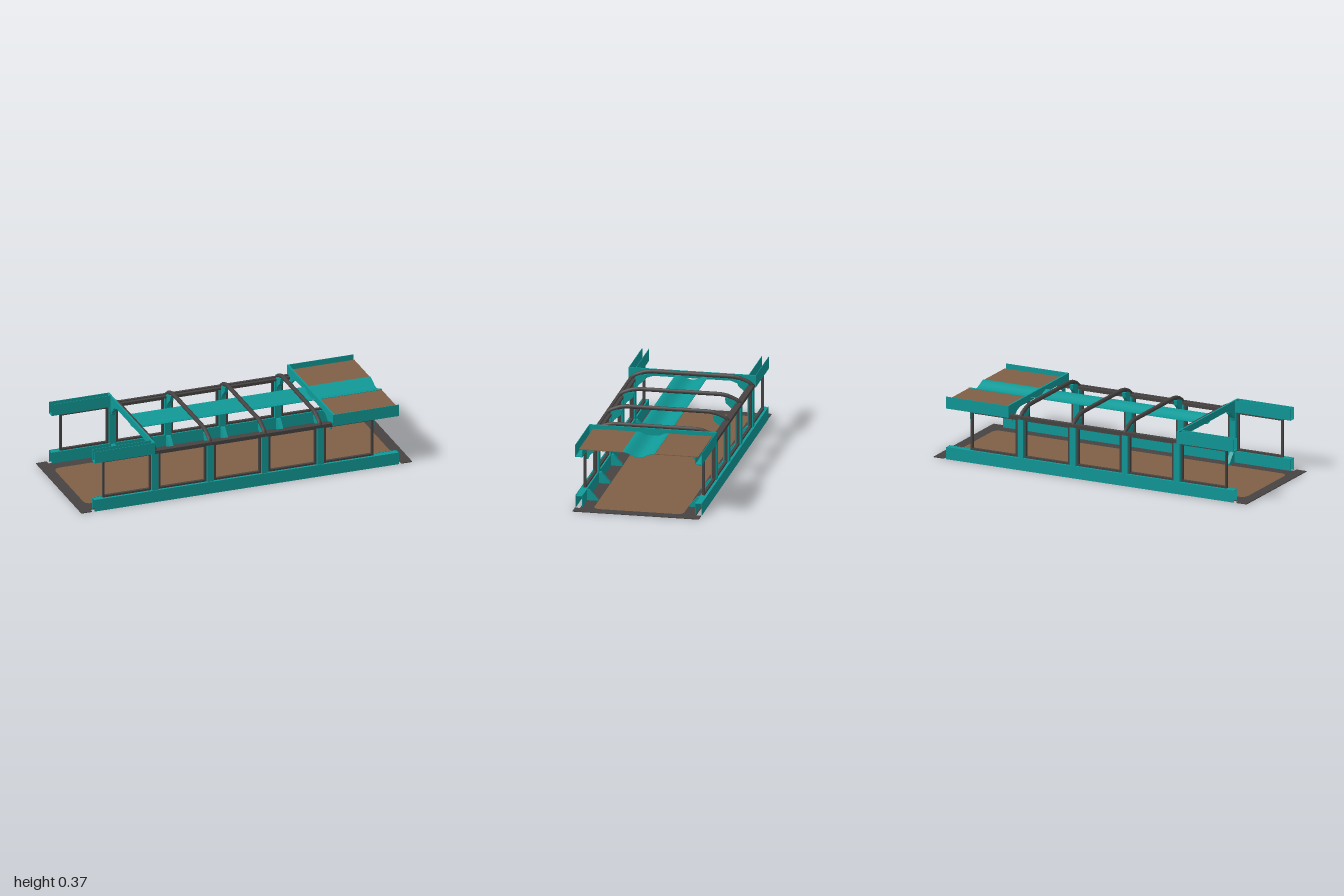
import * as THREE from 'three';

export function createModel() {
  const model = new THREE.Group();
  const mat = (name, color) => new THREE.MeshStandardMaterial({ name, color, side: THREE.DoubleSide });
  const teal = mat('teal paint', 0x0f9a98);
  const dark = mat('dark metal', 0x474343);
  const brown = mat('brown panel', 0x806047);

  const add = (name, geo, material) => {
    const m = new THREE.Mesh(geo, material);
    m.name = name;
    model.add(m);
    return m;
  };
  // box given by its minimum and maximum on each axis
  const box = (name, material, x0, x1, y0, y1, z0, z1) => {
    const g = new THREE.BoxGeometry(x1 - x0, y1 - y0, Math.abs(z1 - z0));
    g.translate((x0 + x1) / 2, (y0 + y1) / 2, (z0 + z1) / 2);
    return add(name, g, material);
  };
  // [z, y] profile extruded along x
  const profile = (name, material, pts, x, w) => {
    const s = new THREE.Shape(pts.map(p => new THREE.Vector2(...p)));
    const g = new THREE.ExtrudeGeometry(s, { depth: w, bevelEnabled: false });
    g.rotateY(-Math.PI / 2).translate(x + w / 2, 0, 0);
    return add(name, g, material);
  };

  // floor: dark border, notched beside the rail ends, around a rounded panel
  const roundRect = (path, a, b, r) => {
    path.moveTo(-a + r, -b);
    path.lineTo(a - r, -b); path.quadraticCurveTo(a, -b, a, -b + r);
    path.lineTo(a, b - r); path.quadraticCurveTo(a, b, a - r, b);
    path.lineTo(-a + r, b); path.quadraticCurveTo(-a, b, -a, b - r);
    path.lineTo(-a, -b + r); path.quadraticCurveTo(-a, -b, -a + r, -b);
    return path;
  };
  const border = new THREE.Shape([
    [-1, -0.365], [-0.935, -0.365], [-0.935, -0.335], [0.935, -0.335], [0.935, -0.365], [1, -0.365],
    [1, 0.365], [0.935, 0.365], [0.935, 0.335], [-0.935, 0.335], [-0.935, 0.365], [-1, 0.365],
  ].map(p => new THREE.Vector2(...p)));
  border.holes.push(roundRect(new THREE.Path(), 0.935, 0.26, 0.045));
  const inlay = roundRect(new THREE.Shape(), 0.935, 0.26, 0.045);
  const flat = shape => new THREE.ExtrudeGeometry(shape, { depth: 0.004, bevelEnabled: false, curveSegments: 6 })
    .rotateX(-Math.PI / 2);
  add('floorBorder', flat(border), dark);
  add('floorPanel', flat(inlay), brown);

  const postX = [-0.55, -0.215, 0.115, 0.45];
  const bays = [[-0.865, -0.573], [-0.527, -0.238], [-0.192, 0.092], [0.138, 0.427], [0.473, 0.77]];
  const t = 0.003;

  for (const s of [1, -1]) {
    const side = (name, material, x0, x1, y0, y1, z0, z1) => box(name, material, x0, x1, y0, y1, s * z0, s * z1);

    // lower rail: channel open downwards
    side('lowerRailOuter', teal, -0.92, 0.92, 0, 0.072, 0.363, 0.366);
    side('lowerRailInner', teal, -0.92, 0.92, 0.004, 0.072, 0.325, 0.328);
    side('lowerRailTop', teal, -0.92, 0.92, 0.067, 0.07, 0.328, 0.363);

    // upper rails: channels open upwards at both ends
    for (const [x0, x1, top] of [[-0.92, -0.555, 0.37], [0.52, 0.92, 0.342]]) {
      side('upperRailOuter', teal, x0, x1, 0.3, 0.37, 0.365, 0.368);
      side('upperRailInner', teal, x0, x1, 0.3, top, 0.325, 0.328);
      side('upperRailBase', teal, x0, x1, 0.3, 0.3 + t, 0.328, 0.365);
    }

    // dark twin beams along the open roof edge
    side('roofEdgeBeam', dark, -0.555, 0.525, 0.298, 0.316, 0.345, 0.362);
    side('roofEdgeInnerBeam', dark, -0.555, 0.525, 0.3, 0.312, 0.323, 0.343);

    // window frames
    for (const [a, b] of bays) {
      const w = 0.011;
      side('windowSill', dark, a, b, 0.072, 0.083, 0.334, 0.351);
      side('windowHead', dark, a, b, 0.289, 0.3, 0.334, 0.351);
      side('windowJamb', dark, a, a + w, 0.083, 0.289, 0.334, 0.351);
      side('windowJamb', dark, b - w, b, 0.083, 0.289, 0.334, 0.351);
    }

    // wall posts with their brackets
    const lower = [[0.325, 0.004], [0.262, 0.004], [0.262, 0.012], [0.312, 0.066], [0.325, 0.07]];
    const upper = [[0.33, 0.248], [0.318, 0.25], [0.312, 0.27], [0.268, 0.308], [0.262, 0.338], [0.33, 0.338]];
    const flip = pts => pts.map(([z, y]) => [z * s, y]);
    for (const x of postX) {
      side('wallPost', teal, x - 0.019, x + 0.019, 0.068, 0.3, 0.324, 0.357);
      profile('lowerBracket', teal, flip(lower), x, 0.024);
      profile('upperBracket', teal, flip(upper), x, 0.02);
    }
    profile('endLowerBracket', teal, flip(lower), 0.78, 0.012);
    profile('endUpperBracket', teal, flip(upper), 0.778, 0.012);

    // ceiling panels beside the trough
    side('ceilingPanel', brown, 0.53, 0.918, 0.343, 0.347, 0.092, 0.345);
  }

  // cross beams closing the upper rails
  const half = [[0.225, 0.33], [0.262, 0.316], [0.325, 0.262], [0.325, 0.3], [0.367, 0.3], [0.367, 0.37]];
  const beam = [...half, ...half.map(([z, y]) => [-z, y]).reverse()];
  for (const x of [-0.56, 0.525]) profile('crossBeam', teal, beam, x, 0.01);

  // dark roof ribs
  const ribPts = [[0.352, 0.3], [0.345, 0.318], [0.325, 0.332], [0.275, 0.352], [0.24, 0.358]];
  const path = new THREE.CurvePath();
  const all = [...ribPts, ...ribPts.map(([z, y]) => [-z, y]).reverse()].map(([z, y]) => new THREE.Vector3(0, y, z));
  for (let i = 1; i < all.length; i++) path.add(new THREE.LineCurve3(all[i - 1], all[i]));
  const rib = new THREE.TubeGeometry(path, 48, 0.0125, 8, false);
  for (const x of postX) add('roofRib', rib, dark).position.x = x;

  // curved ceiling trough
  const top = [], bottom = [];
  for (let i = 0; i <= 16; i++) {
    const z = -0.094 + 0.188 * i / 16;
    const y = 0.335 + 0.014 * -Math.cos(Math.PI * z / 0.094);
    top.push([z, y]);
    bottom.unshift([z, y - t]);
  }
  profile('ceilingTrough', teal, [...top, ...bottom], 0.18, 1.48);

  return model;
}
